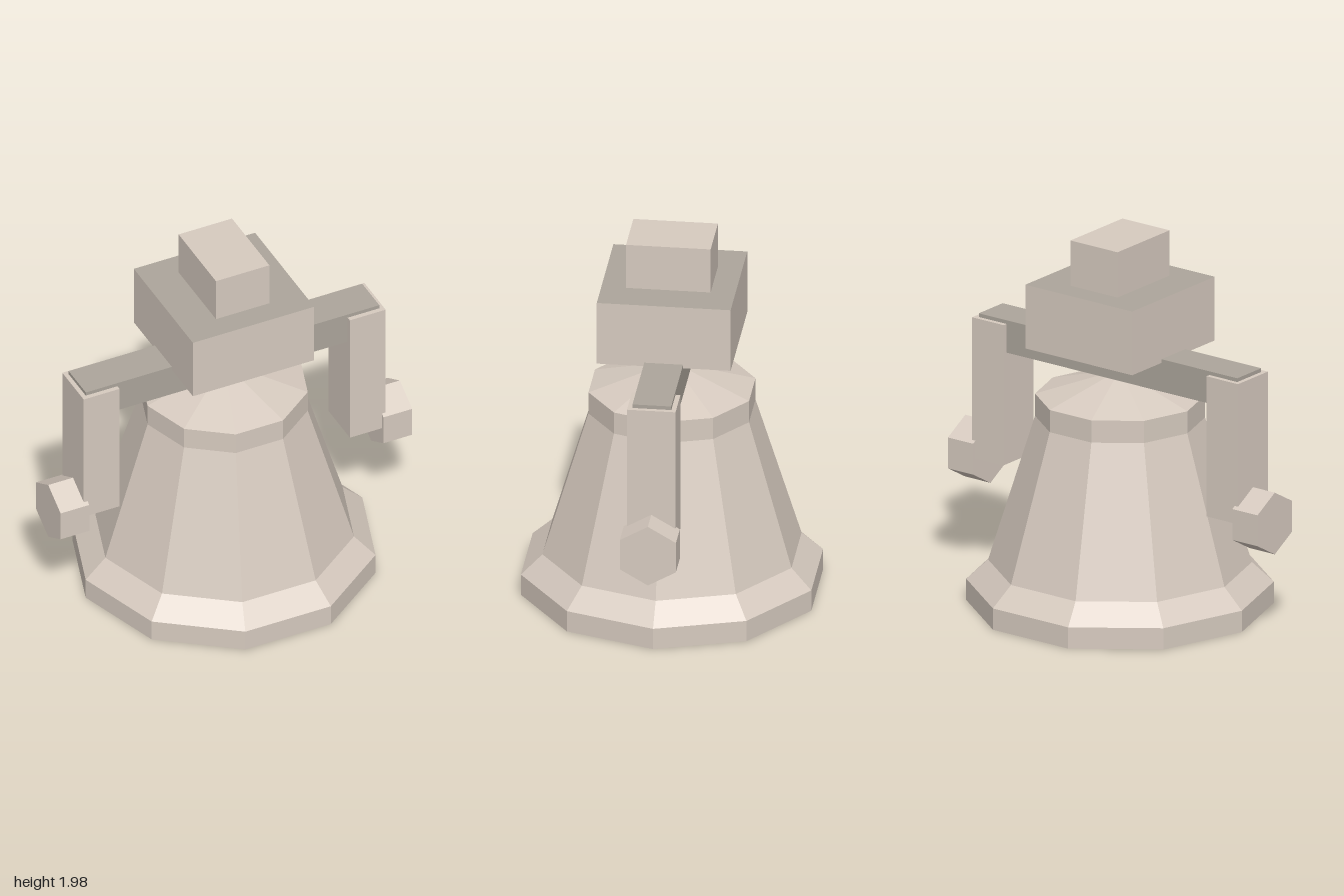
import * as THREE from 'three';

export function createModel() {
  const group = new THREE.Group();
  const stone = new THREE.MeshStandardMaterial({ color: 0xd6cabf });
  stone.name = 'pale stone';
  const darkStone = new THREE.MeshStandardMaterial({ color: 0xaca59b });
  darkStone.name = 'dark stone';

  // Unshared vertices give every facet its own flat normal
  const flat = (geometry) => {
    const g = geometry.toNonIndexed();
    g.computeVertexNormals();
    return g;
  };
  const add = (name, geometry, material, x = 0, y = 0) => {
    const mesh = new THREE.Mesh(geometry, material);
    mesh.name = name;
    mesh.position.set(x, y, 0);
    group.add(mesh);
  };
  const box = (name, w, d, y0, y1, material, x = 0) =>
    add(name, new THREE.BoxGeometry(w, y1 - y0, d), material, x, (y0 + y1) / 2);

  // Ten-sided bell body: foot rim, flare, tapering wall, collar and cap
  const profile = [
    [0, 0], [0.787, 0], [0.787, 0.115], [0.675, 0.22],
    [0.435, 1.0], [0.435, 1.12], [0, 1.255],
  ].map(([r, y]) => new THREE.Vector2(r, y));
  add('bellBody', flat(new THREE.LatheGeometry(profile, 10, Math.PI / 2)), stone);

  // Shoulder bar across the top of the body
  box('shoulderBar', 1.67, 0.2, 1.235, 1.41, darkStone);

  // Head block: pale sides, dark top and underside
  box('headBlock', 0.69, 0.69, 1.39, 1.735,
    [stone, stone, darkStone, darkStone, stone, stone]);
  box('topBlock', 0.304, 0.436, 1.735, 1.98, stone);

  // Hanging arms with hexagonal hands
  for (const [side, s] of [['left', 1], ['right', -1]]) {
    box(side + 'Arm', 0.204, 0.25, 0.632, 1.39, stone, s * 0.757);
    const hand = new THREE.CylinderGeometry(0.167, 0.167, 0.163, 6, 1, false, Math.PI / 2);
    hand.rotateZ(Math.PI / 2);
    add(side + 'Hand', flat(hand), stone, s * 0.9185, 0.632);
  }

  return group;
}
